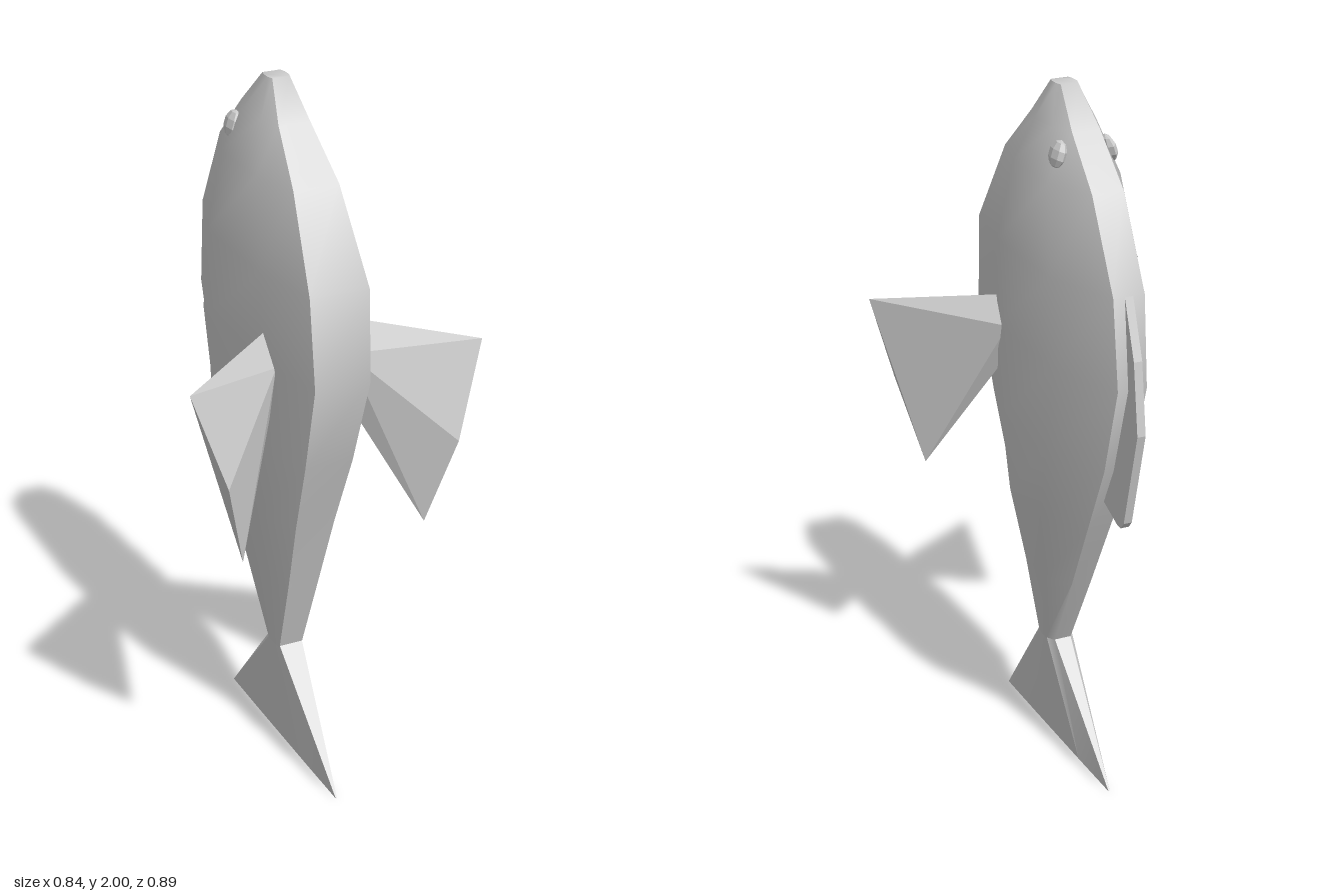
import * as THREE from 'three';
import { toCreasedNormals } from 'three/addons/utils/BufferGeometryUtils.js';
import { ConvexGeometry } from 'three/addons/geometries/ConvexGeometry.js';

const V = (x, y, z) => new THREE.Vector3(x, y, z);

// Skins eight-sided sections [y, front z, back z, half width, front half width, back half width], bottom to top
function loft(sections, crease) {
  const rings = sections.map(([y, zf, zb, w, fw, bw]) => {
    const mid = (zf + zb) / 2, half = (zf - zb) / 2;
    const side = [[fw, zf], [w, mid + half * 0.44], [w, mid - half * 0.44], [bw, zb]];
    const other = side.map(([x, z]) => [-x, z]).reverse();
    return [...side, ...other].map(([x, z]) => V(x, y, z));
  });
  const points = [];
  for (let i = 0; i < rings.length - 1; i++) {
    for (let j = 0; j < 8; j++) {
      const k = (j + 1) % 8;
      const a = rings[i][j], b = rings[i][k], c = rings[i + 1][k], d = rings[i + 1][j];
      points.push(a, b, c, a, c, d);
    }
  }
  const top = rings[rings.length - 1], bottom = rings[0];
  for (let j = 1; j < 7; j++) {
    points.push(top[0], top[j], top[j + 1], bottom[0], bottom[j + 1], bottom[j]);
  }
  const geometry = new THREE.BufferGeometry().setFromPoints(points);
  geometry.computeVertexNormals();
  return toCreasedNormals(geometry, crease);
}

export function createModel() {
  const group = new THREE.Group();
  const grey = new THREE.MeshStandardMaterial({ color: 0xcccccc });
  grey.name = 'plain grey';
  const add = (name, geometry) => {
    const mesh = new THREE.Mesh(geometry, grey);
    mesh.name = name;
    group.add(mesh);
    return mesh;
  };

  // Upright body, from the tail root to the snout
  add('body', loft([
    [0.34, 0.12, 0.035, 0.04, 0.035, 0.025],
    [0.58, 0.20, -0.09, 0.076, 0.046, 0.03],
    [0.80, 0.27, -0.20, 0.115, 0.058, 0.035],
    [1.02, 0.35, -0.31, 0.127, 0.07, 0.04],
    [1.28, 0.425, -0.39, 0.123, 0.08, 0.042],
    [1.53, 0.40, -0.365, 0.125, 0.085, 0.045],
    [1.77, 0.26, -0.24, 0.105, 0.065, 0.045],
    [1.90, 0.13, -0.11, 0.065, 0.045, 0.04],
    [2.00, 0.05, -0.01, 0.03, 0.025, 0.025],
  ], 0.95));

  // Tail fin, thinning to an edge on the ground
  add('tailFin', loft([
    [0, 0.42, -0.275, 0.003, 0.002, 0.002],
    [0.345, 0.12, 0.035, 0.04, 0.035, 0.025],
  ], 0.6));

  // Dorsal fin along the back, outlined in z and y
  const outline = [[-0.33, 1.55], [-0.365, 1.53], [-0.42, 1.37], [-0.445, 1.17],
    [-0.372, 0.89], [-0.355, 0.87], [-0.335, 0.87], [-0.24, 0.91], [-0.2, 1.0]];
  const dorsal = new THREE.ExtrudeGeometry(
    new THREE.Shape(outline.map(([z, y]) => new THREE.Vector2(-z, y))),
    { depth: 0.024, bevelEnabled: false });
  dorsal.translate(0, 0, -0.012).rotateY(Math.PI / 2);
  add('dorsalFin', dorsal);

  for (const s of [1, -1]) {
    const name = s > 0 ? 'left' : 'right';

    // Faceted side fin: three tip corners and four root corners
    add(name + 'SideFin', new ConvexGeometry([
      [0.42, 1.33, 0.405], [0.335, 1.065, 0.45], [0.27, 0.81, 0.39],
      [0.115, 1.366, 0.195], [0.11, 1.285, 0.155], [0.1, 1.16, 0.21], [0.105, 1.28, 0.245],
    ].map(([x, y, z]) => V(s * x, y, z))));

    // Small flattened eye
    const eye = add(name + 'Eye', new THREE.SphereGeometry(0.04, 8, 5).toNonIndexed());
    eye.geometry.computeVertexNormals();
    eye.scale.set(0.45, 0.95, 1);
    eye.position.set(s * 0.073, 1.842, -0.093);
    eye.rotation.z = s * 0.3;
  }
  return group;
}
